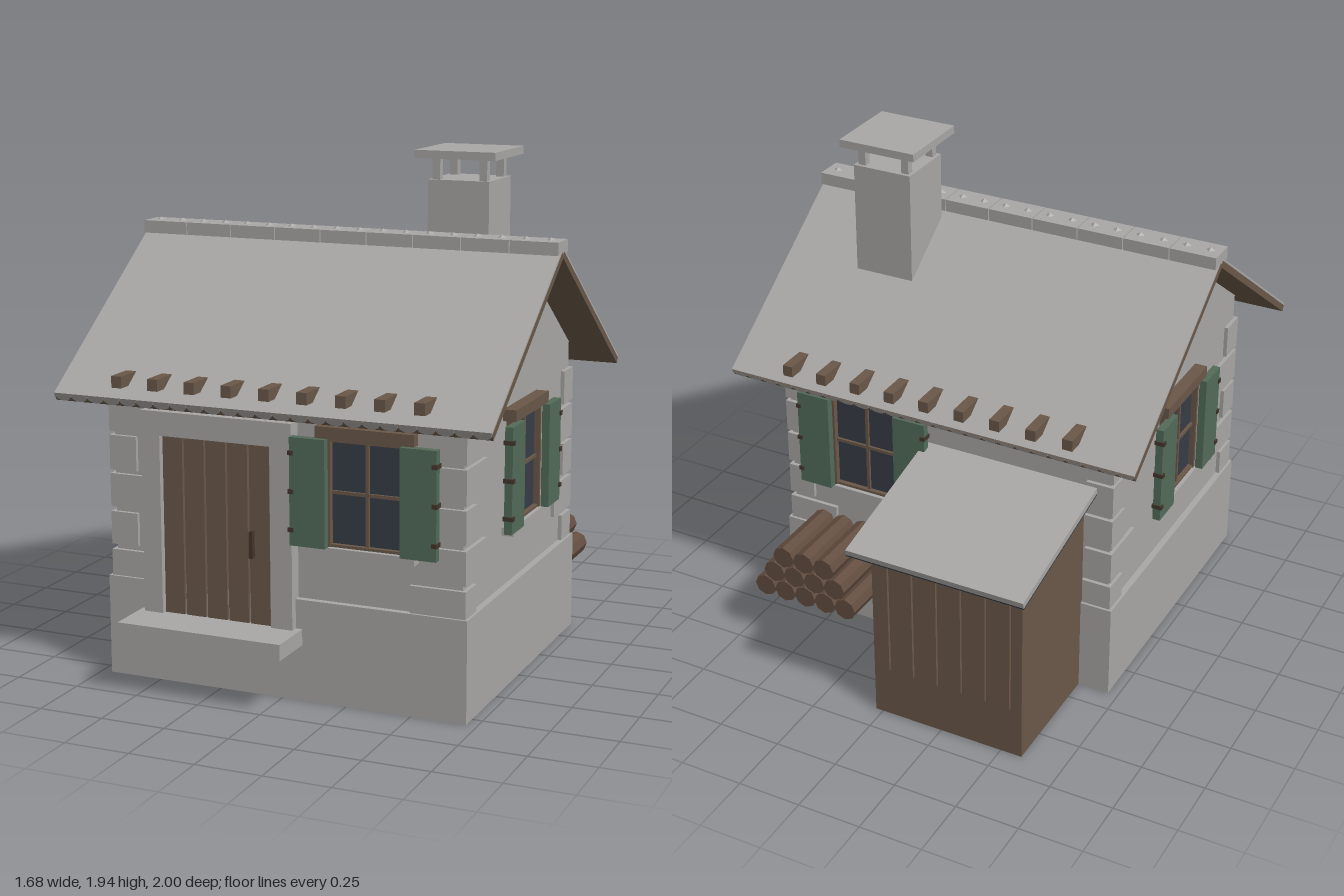
import * as THREE from 'three';

const mat = (name, color) => {
  const m = new THREE.MeshStandardMaterial({ color });
  m.name = name;
  return m;
};
const stone = mat('stone', 0xa8a7a5);
const wood = mat('wood', 0x6a5849);
const logWood = mat('log wood', 0x634d40);
const darkWood = mat('dark wood', 0x43362c);
const green = mat('shutter green', 0x526b59);
const glass = mat('glass', 0x373c46);

function add(parent, name, geometry, material) {
  const mesh = new THREE.Mesh(geometry, material);
  mesh.name = name;
  parent.add(mesh);
  return mesh;
}

// Box given by its limits on each axis
function box(parent, name, material, x0, x1, y0, y1, z0, z1) {
  const g = new THREE.BoxGeometry(x1 - x0, y1 - y0, z1 - z0);
  g.translate((x0 + x1) / 2, (y0 + y1) / 2, (z0 + z1) / 2);
  return add(parent, name, g, material);
}

function group(parent, name) {
  const g = new THREE.Group();
  g.name = name;
  parent.add(g);
  return g;
}

const RIDGE_Y = 1.575, MID_Z = 0.2, PITCH = Math.atan(0.705), HALF_X = 0.84;

// Window facing +z, origin at its centre on the wall
function addWindow(parent, name, x, y, z, turn) {
  const w = group(parent, name);
  w.position.set(x, y, z);
  w.rotation.y = turn;
  box(w, 'windowGlass', glass, -0.14, 0.14, -0.198, 0.195, -0.01, 0.012);
  for (const s of [-1, 1]) {
    const frame = box(w, 'frameSide', wood, 0.136, 0.15, -0.198, 0.195, -0.01, 0.035);
    frame.scale.x = 1;
    if (s < 0) frame.position.x = -0.286;
    const a = s < 0 ? -0.278 : 0.142;
    box(w, 'shutter', green, a, a + 0.136, -0.198, 0.197, 0.04, 0.07);
    for (const hy of [-0.14, 0, 0.14]) {
      const h = s < 0 ? -0.282 : 0.262;
      box(w, 'hinge', darkWood, h, h + 0.02, hy - 0.008, hy + 0.008, 0.036, 0.076);
    }
  }
  box(w, 'frameTop', wood, -0.14, 0.14, 0.183, 0.195, -0.01, 0.03);
  box(w, 'frameBottom', wood, -0.14, 0.14, -0.198, -0.188, -0.01, 0.03);
  box(w, 'uprightBar', wood, -0.006, 0.006, -0.198, 0.195, 0, 0.022);
  box(w, 'crossBar', wood, -0.14, 0.14, -0.006, 0.006, 0, 0.022);
  box(w, 'lintel', wood, -0.187, 0.187, 0.197, 0.24, -0.01, 0.05);
  box(w, 'sill', stone, -0.187, 0.187, -0.23, -0.199, -0.01, 0.045);
}

function addWalls(house) {
  box(house, 'foundation', stone, -0.71, 0.71, 0, 0.38, -0.41, 0.81);
  const eaveY = RIDGE_Y - 0.585 * 0.705;
  const s = new THREE.Shape();
  s.moveTo(-0.385, 0.37);
  s.lineTo(0.785, 0.37);
  s.lineTo(0.785, eaveY);
  s.lineTo(MID_Z, RIDGE_Y);
  s.lineTo(-0.385, eaveY);
  const g = new THREE.ExtrudeGeometry(s, { depth: 1.37, bevelEnabled: false });
  g.translate(0, 0, -0.685).rotateY(-Math.PI / 2);
  add(house, 'walls', g, stone);

  // Corner stones, long and short by turns
  const rows = [[0.38, 0.48], [0.5, 0.625], [0.645, 0.77], [0.785, 0.915], [0.93, 1.06]];
  rows.forEach(([y0, y1], i) => {
    const lx = i % 2 ? 0.11 : 0.21, lz = i % 2 ? 0.21 : 0.11;
    for (const left of [true, false]) {
      const x0 = left ? 0.7 - lx : -0.7;
      box(house, 'cornerStone', stone, x0, x0 + lx, y0, y1, 0.8 - lz, 0.8);
      box(house, 'cornerStone', stone, x0, x0 + lx, y0, y1, -0.4, -0.4 + lz);
    }
  });
}

function addDoor(house) {
  const d = group(house, 'door');
  box(d, 'doorPostRight', stone, -0.545, -0.47, 0.27, 0.94, 0.77, 0.84);
  box(d, 'doorPostLeft', stone, -0.03, 0.055, 0.27, 0.94, 0.77, 0.84);
  box(d, 'doorLintel', stone, -0.545, 0.055, 0.94, 1.03, 0.77, 0.84);
  box(d, 'doorBacking', wood, -0.47, -0.03, 0.38, 0.94, 0.78, 0.8);
  for (let i = 0; i < 5; i++) {
    const x = -0.467 + i * 0.087;
    box(d, 'doorPlank', wood, x, x + 0.079, 0.27, 0.94, 0.795, 0.822);
  }
  box(d, 'doorHandle', darkWood, -0.115, -0.1, 0.52, 0.62, 0.82, 0.842);
  box(d, 'doorStep', stone, -0.57, 0.08, 0.21, 0.27, 0.78, 1.0);
}

function addRoof(house) {
  const roof = group(house, 'roof');
  const count = 25, pitchX = (2 * HALF_X) / count, len = 0.895;
  // Half-round tile row, a little wider at the eave
  const tile = new THREE.CylinderGeometry(0.0336, 0.03, len, 10, 1, false, -Math.PI / 2, Math.PI);
  tile.rotateX(Math.PI / 2);
  tile.scale(1, 0.85, 1);
  const flat = tile.toNonIndexed();
  flat.computeVertexNormals();
  flat.translate(0, 0.03, len / 2);
  for (const back of [false, true]) {
    const turn = group(roof, back ? 'backSlope' : 'frontSlope');
    turn.position.set(0, RIDGE_Y, MID_Z);
    turn.rotation.y = back ? Math.PI : 0;
    const slope = group(turn, 'slope');
    slope.rotation.x = PITCH;
    box(slope, 'roofBoards', wood, -HALF_X, HALF_X, 0, 0.025, -0.004, 0.893);
    box(slope, 'tileBed', stone, -HALF_X, HALF_X, 0.026, 0.034, 0, 0.89);
    for (let i = 0; i < count; i++) {
      add(slope, 'tileRow', flat, stone).position.x = -HALF_X + (i + 0.5) * pitchX;
    }
  }
  // Ridge stones with small studs
  const step = (2 * HALF_X) / 9;
  const stud = new THREE.OctahedronGeometry(0.018);
  stud.scale(1, 0.6, 1);
  for (let i = 0; i < 9; i++) {
    const x = -HALF_X + i * step;
    box(roof, 'ridgeCap', stone, x + 0.002, x + step - 0.002, 1.59, 1.638, 0.142, 0.255);
    for (const f of [0.25, 0.75]) {
      add(roof, 'ridgeStud', stud, stone).position.set(x + f * step, 1.638, MID_Z);
    }
  }
  // Beams running through the eaves
  for (let i = -4; i <= 4; i++) {
    const x = i * 0.1455;
    box(roof, 'eaveBeam', wood, x - 0.02, x + 0.02, 1.127, 1.17, -0.552, 0.945);
  }
}

function addChimney(house) {
  const c = group(house, 'chimney');
  box(c, 'chimneyStack', stone, 0.29, 0.53, 1.3, 1.83, -0.11, 0.13);
  for (const x of [0.318, 0.502]) {
    for (const z of [-0.082, 0.102]) {
      box(c, 'capPost', stone, x - 0.015, x + 0.015, 1.83, 1.912, z - 0.015, z + 0.015);
    }
  }
  box(c, 'chimneyCap', stone, 0.25, 0.565, 1.91, 1.94, -0.15, 0.165);
}

function addShed(house) {
  const s = group(house, 'shed');
  box(s, 'shedBody', wood, -0.585, 0.03, 0, 0.78, -0.9, -0.4);
  for (let i = 0; i < 6; i++) {
    const x = -0.53 + i * 0.1;
    box(s, 'shedBatten', wood, x - 0.01, x + 0.01, 0.21, 0.765, -0.912, -0.9);
  }
  const top = group(s, 'shedRoof');
  top.position.set(-0.278, 0.895, -0.4);
  top.rotation.x = -Math.atan(0.23);
  box(top, 'shedRoofSlab', stone, -0.357, 0.357, -0.018, 0.006, -0.611, 0);
  box(top, 'shedRoofLining', glass, -0.357, 0.357, -0.024, -0.018, -0.611, 0);
}

function addFirewood(house) {
  const pile = group(house, 'firewood');
  const r = 0.045;
  const g = new THREE.CylinderGeometry(r, r, 0.31, 8).toNonIndexed();
  g.computeVertexNormals();
  g.rotateX(Math.PI / 2);
  for (let row = 0; row < 3; row++) {
    for (let i = 0; i < 5 - row; i++) {
      add(pile, 'log', g, logWood).position.set(
        0.275 + (i + row / 2) * 2 * r, 0.255 + row * r * 1.732, -0.555);
    }
  }
}

export function createModel() {
  const house = new THREE.Group();
  house.name = 'cottage';
  addWalls(house);
  addDoor(house);
  addWindow(house, 'frontWindow', 0.332, 0.79, 0.785, 0);
  addWindow(house, 'backWindow', 0.332, 0.805, -0.385, Math.PI);
  addWindow(house, 'leftWindow', 0.685, 0.805, MID_Z, Math.PI / 2);
  addWindow(house, 'rightWindow', -0.685, 0.805, MID_Z, -Math.PI / 2);
  addRoof(house);
  addChimney(house);
  addShed(house);
  addFirewood(house);
  return house;
}
